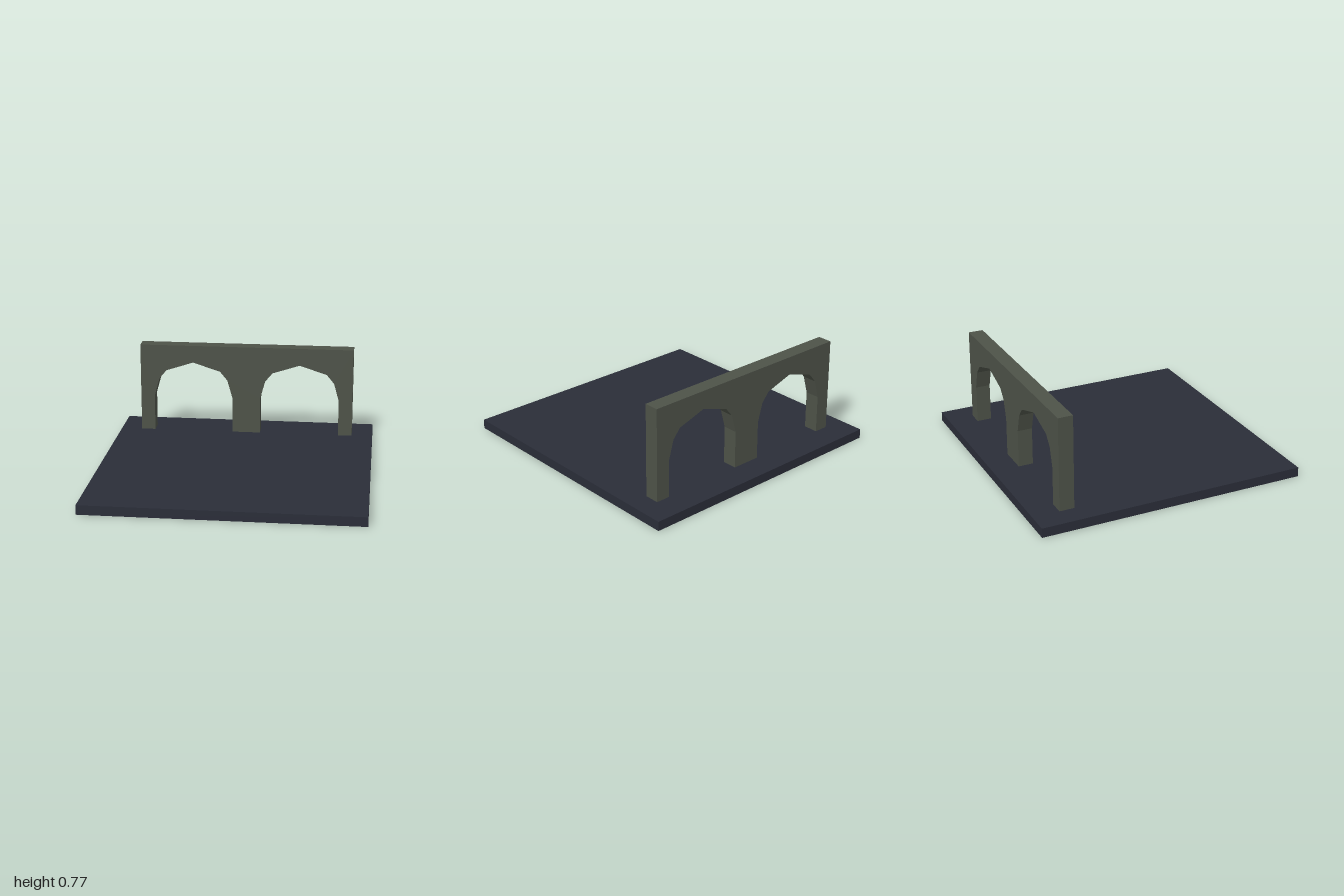
import * as THREE from 'three';

const BASE_TOP = 0.07;

// Faceted pointed-arch opening cut up from the wall's foot, centred on cx
function archPoints(cx) {
  const left = [[-0.31, BASE_TOP], [-0.31, 0.352], [-0.271, 0.492], [-0.213, 0.562]];
  const right = left.map(([x, y]) => [-x, y]).reverse();
  return [...left, [0, 0.631], ...right].map(([x, y]) => new THREE.Vector2(cx + x, y));
}

export function createModel() {
  const model = new THREE.Group();
  model.name = 'arcade';

  // Square floor slab
  const floor = new THREE.Mesh(
    new THREE.BoxGeometry(2, BASE_TOP, 2),
    new THREE.MeshStandardMaterial({ color: 0x2a2d38, flatShading: true })
  );
  floor.name = 'floorSlab';
  floor.position.y = BASE_TOP / 2;
  model.add(floor);

  // Wall outline runs along the foot through both arches, then over the top
  const halfWidth = 0.838, top = 0.766, depth = 0.11;
  const outline = new THREE.Shape([
    new THREE.Vector2(-halfWidth, BASE_TOP),
    ...archPoints(-0.42),
    ...archPoints(0.42),
    new THREE.Vector2(halfWidth, BASE_TOP),
    new THREE.Vector2(halfWidth, top),
    new THREE.Vector2(-halfWidth, top),
  ]);
  const wall = new THREE.Mesh(
    new THREE.ExtrudeGeometry(outline, { depth, bevelEnabled: false }),
    new THREE.MeshStandardMaterial({ color: 0x4d5248, flatShading: true })
  );
  wall.name = 'archedWall';
  wall.position.z = -0.802;
  model.add(wall);

  return model;
}
